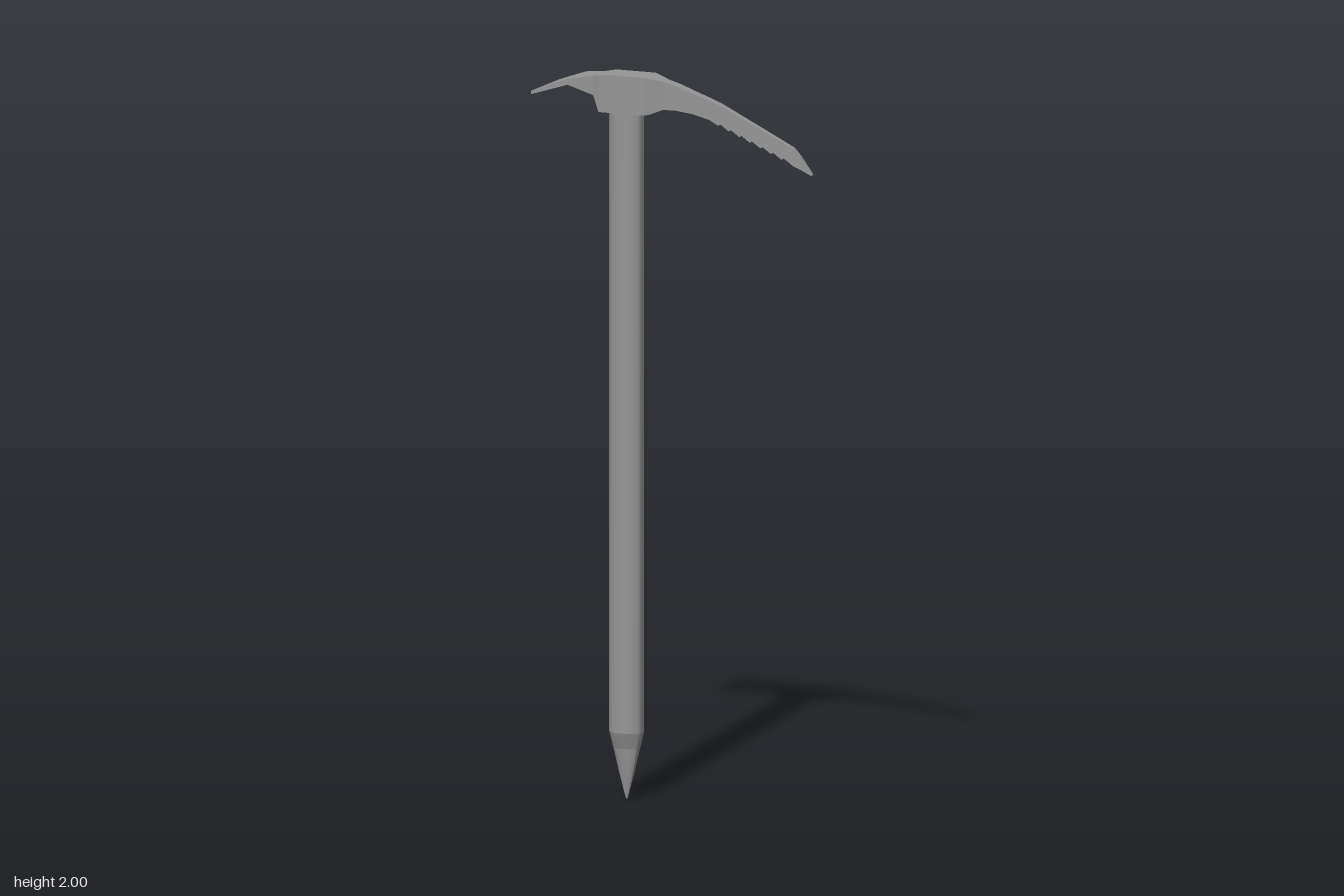
import * as THREE from 'three';
import { toCreasedNormals } from 'three/addons/utils/BufferGeometryUtils.js';

const steel = new THREE.MeshStandardMaterial({ color: 0x969696 });
steel.name = 'grey steel';

const SHAFT_X = -0.152;

// Skin a list of equal-sized rings and close both ends
function loft(rings, crease) {
  const n = rings[0].length;
  const index = [];
  for (let i = 0; i < rings.length - 1; i++) {
    for (let j = 0; j < n; j++) {
      const k = (j + 1) % n;
      const a = i * n + j, b = i * n + k, c = b + n, d = a + n;
      index.push(a, b, c, a, c, d);
    }
  }
  const last = (rings.length - 1) * n;
  for (let j = 1; j < n - 1; j++) {
    index.push(0, j + 1, j, last, last + j, last + j + 1);
  }
  const geo = new THREE.BufferGeometry();
  geo.setAttribute('position', new THREE.Float32BufferAttribute(rings.flat(2), 3));
  geo.setIndex(index);
  return toCreasedNormals(geo, crease);
}

// Slightly squared oval, horizontal, around the shaft axis
function oval(y, rx, rz, power = 0.85) {
  const ring = [];
  for (let i = 0; i < 32; i++) {
    const a = (i / 32) * Math.PI * 2;
    const c = Math.cos(a), s = Math.sin(a);
    ring.push([
      SHAFT_X + rx * Math.sign(c) * Math.abs(c) ** power,
      y,
      -rz * Math.sign(s) * Math.abs(s) ** power,
    ]);
  }
  return ring;
}

// Upright rectangular section of the head
const section = ([x, top, bottom, half]) => [
  [x, top, -half], [x, top, half], [x, bottom, half], [x, bottom, -half],
];

function part(name, rings, crease) {
  const mesh = new THREE.Mesh(loft(rings, crease), steel);
  mesh.name = name;
  return mesh;
}

export function createModel() {
  const group = new THREE.Group();
  group.name = 'iceAxe';

  // Oval shaft
  group.add(part('shaft', [oval(0.185, 0.048, 0.036), oval(1.91, 0.048, 0.036)], 0.6));

  // Spike: a short shoulder, then a flattened point
  group.add(part('spikeShoulder', [oval(0.14, 0.038, 0.021), oval(0.185, 0.048, 0.036)], 0.6));
  group.add(part('spikePoint', [
    oval(0, 0.002, 0.001), oval(0.02, 0.008, 0.004),
    oval(0.08, 0.024, 0.013), oval(0.14, 0.038, 0.021),
  ], 0.6));

  // Adze: x, top, bottom, half width
  const adze = [
    [-0.4, 1.947, 1.938, 0.083],
    [-0.37, 1.959, 1.947, 0.079],
    [-0.3, 1.984, 1.968, 0.062],
    [-0.235, 1.994, 1.940, 0.037],
  ];
  // Socket block over the shaft
  const socket = [
    [-0.235, 1.994, 1.940, 0.037],
    [-0.217, 1.997, 1.896, 0.043],
    [-0.2, 2.0, 1.896, 0.043],
    [-0.085, 2.0, 1.896, 0.043],
    [-0.07, 1.997, 1.898, 0.036],
    [-0.035, 1.989, 1.912, 0.02],
  ];
  // Pick, thinning towards the tip
  const pick = [
    [-0.035, 1.989, 1.912, 0.02],
    [0, 1.98, 1.912, 0.0175],
    [0.05, 1.963, 1.906, 0.015],
    [0.1, 1.946, 1.893, 0.0135],
  ];
  // Saw teeth along the underside of the pick
  const topAt = (x) => 1.937 - (x - 0.125) * 0.475;
  const halfAt = (x) => 0.013 - (x - 0.1) * 0.024;
  const teeth = 7, pitch = 0.031;
  for (let i = 0; i < teeth; i++) {
    const x = 0.125 + i * pitch;
    const base = 1.879 - i * pitch * 0.43;
    pick.push([x, topAt(x), base, halfAt(x)]);
    pick.push([x + 0.007, topAt(x + 0.007), base + 0.004, halfAt(x + 0.007)]);
  }
  pick.push(
    [0.345, 1.832, 1.784, 0.0072],
    [0.365, 1.811, 1.776, 0.0066],
    [0.4, 1.764, 1.76, 0.0055],
  );

  group.add(part('adze', adze.map(section), 0.05));
  group.add(part('socket', socket.map(section), 0.05));
  group.add(part('pick', pick.map(section), 0.05));
  return group;
}
